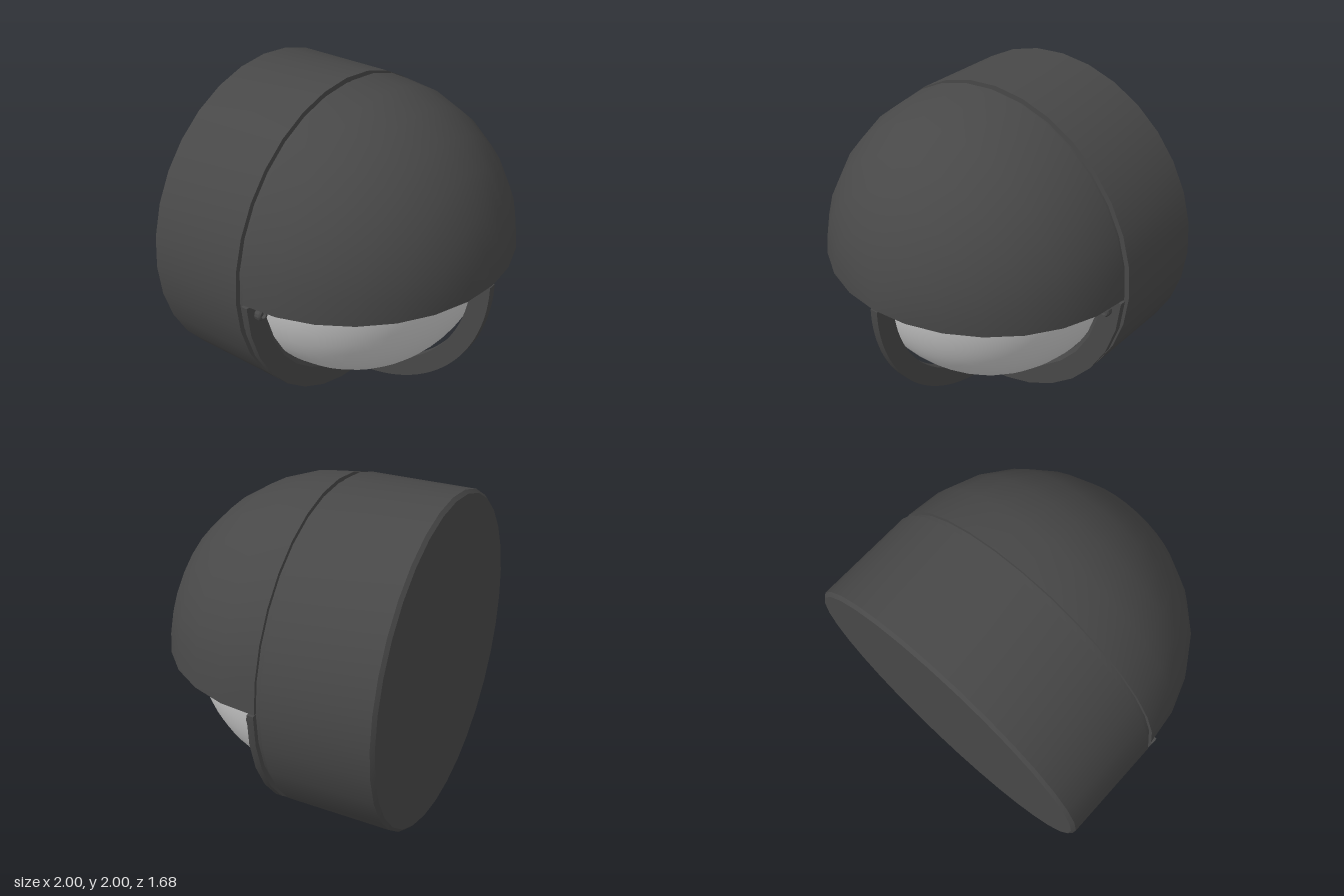
import * as THREE from 'three';
import { mergeGeometries, toCreasedNormals } from 'three/addons/utils/BufferGeometryUtils.js';

const SEGMENTS = 32;
const CENTER_Y = 1;
const FRONT_Z = -0.15; // plane where the hood, lens and trim meet the housing

const dark = new THREE.MeshStandardMaterial({ color: 0x484848 });
const glass = new THREE.MeshStandardMaterial({ color: 0xcccccc });

const vec = ([x, y]) => new THREE.Vector2(x, y);

// Quarter arc in (radius, depth), from the rim to the front pole
function quarterArc(radius, steps) {
  return Array.from({ length: steps + 1 }, (_, i) => {
    const a = (i / steps) * Math.PI / 2;
    return [i === steps ? 0 : radius * Math.cos(a), FRONT_Z + radius * Math.sin(a)];
  });
}

// Revolve a (radius, z) profile about the front-to-back axis
function revolve(profile, start = 0, sweep = Math.PI * 2, segments = SEGMENTS) {
  const lathe = new THREE.LatheGeometry(profile.map(vec), segments, start, sweep);
  return toCreasedNormals(lathe.rotateX(Math.PI / 2), 0.5);
}

// Half revolution of a closed profile with its two cut ends filled in
function halfRing(profile, upper) {
  const closed = [...profile, profile[0]];
  const parts = [revolve(closed, upper ? Math.PI / 2 : -Math.PI / 2, Math.PI, SEGMENTS / 2)];
  const turn = upper ? Math.PI / 2 : -Math.PI / 2;
  for (const side of [1, -1]) {
    const points = profile.map(([r, z]) => vec([r * side, upper ? z : -z]));
    const cap = new THREE.ShapeGeometry(new THREE.Shape(points));
    parts.push(cap.rotateX(turn).toNonIndexed());
  }
  return mergeGeometries(parts);
}

export function createModel() {
  const model = new THREE.Group();
  model.name = 'bulkheadLamp';

  function add(name, geometry, material = dark, y = CENTER_Y) {
    const mesh = new THREE.Mesh(geometry, material);
    mesh.name = name;
    mesh.position.y = y;
    model.add(mesh);
    return mesh;
  }

  // Drum housing with a chamfered back and a recessed groove at the front
  add('housing', revolve([
    [0, -0.84], [0.98, -0.84], [1, -0.82], [1, -0.19],
    [0.97, -0.19], [0.97, FRONT_Z], [0, FRONT_Z],
  ]));

  // Thick quarter-dome hood over the upper half
  add('hood', halfRing([...quarterArc(0.99, 7), ...quarterArc(0.86, 7).reverse()], true), dark, 1.005);

  // Flat trim around the lower half, bevelled towards the lens
  add('trimRing', halfRing([
    [0.845, FRONT_Z], [1, FRONT_Z], [1, -0.11], [0.87, -0.11], [0.845, -0.13],
  ], false));

  // Domed lens
  add('lens', revolve(quarterArc(0.84, 20), 0, Math.PI * 2, 48), glass);

  // Curved guard bar down the middle, drawn in the side plane
  const bar = new THREE.Shape();
  bar.absarc(0, 0, 0.99, -Math.PI / 2, 0, false);
  bar.absarc(0, 0, 0.865, 0, -Math.PI / 2, true);
  const barGeometry = new THREE.ExtrudeGeometry(bar, { depth: 0.05, bevelEnabled: false, curveSegments: 20 });
  barGeometry.translate(0, 0, -0.025).rotateY(-Math.PI / 2);
  add('guardBar', toCreasedNormals(barGeometry, 0.5)).position.z = FRONT_Z;

  // Screws with socketed heads at the ends of the trim
  for (const side of [1, -1]) {
    const screw = revolve([
      [0.037, -0.12], [0.037, -0.08], [0.03, -0.07],
      [0.02, -0.07], [0.02, -0.09], [0, -0.09],
    ], 0, Math.PI * 2, 12);
    add(side > 0 ? 'leftScrew' : 'rightScrew', screw, dark, 0.925).position.x = side * 0.91;
  }

  return model;
}
